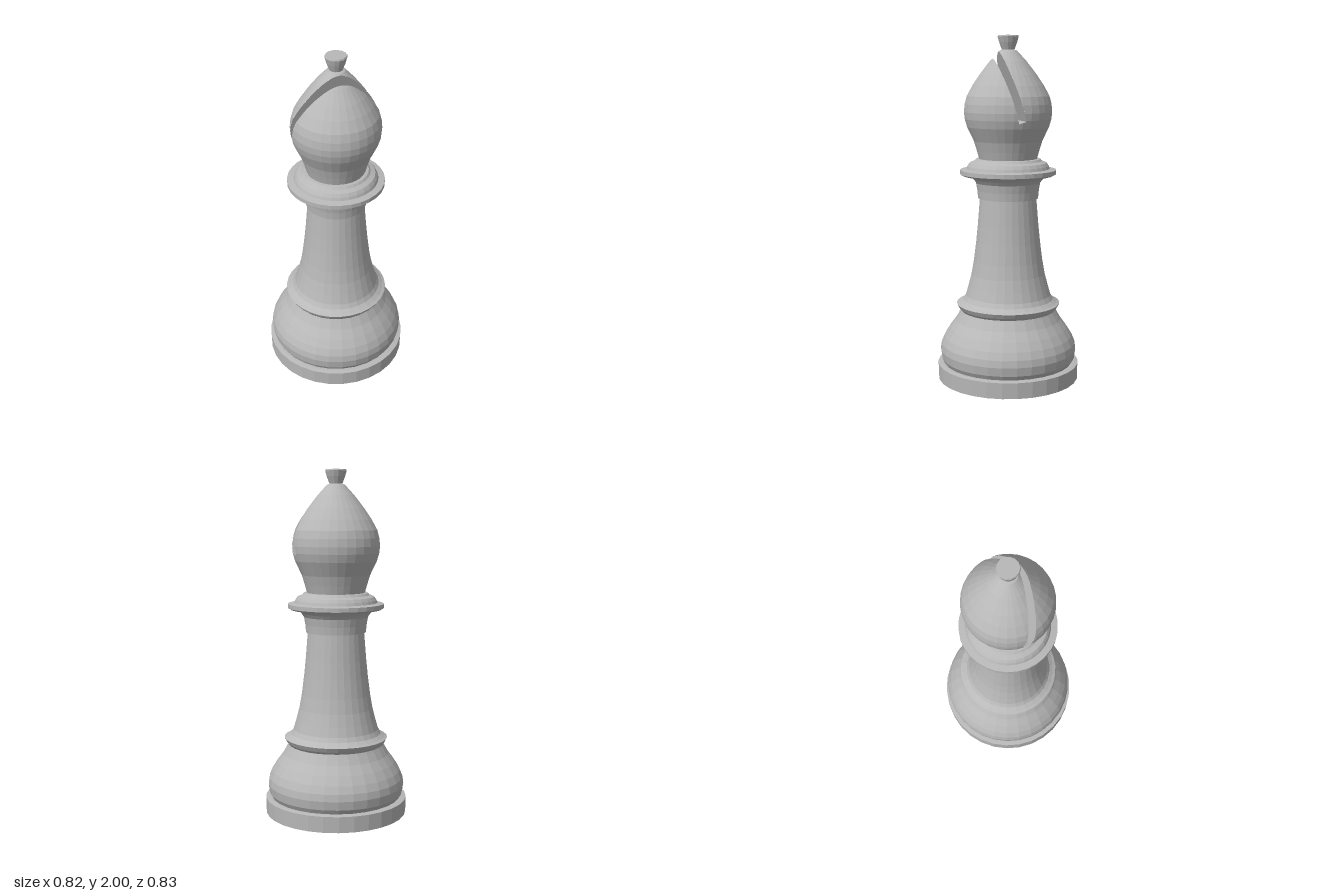
import * as THREE from 'three';

const SIDES = 30;
const stone = new THREE.MeshStandardMaterial({ color: 0xb8b8b8, flatShading: true });
stone.name = 'grey stone';

// Turned part from [radius, height] pairs, bottom to top
const lathe = (profile, sides = SIDES) =>
  new THREE.LatheGeometry(profile.map(([r, y]) => new THREE.Vector2(r, y)), sides);

const headProfile = [
  [0.165, 1.295], [0.18, 1.35], [0.197, 1.405], [0.235, 1.485], [0.248, 1.53], [0.252, 1.57],
  [0.248, 1.615], [0.236, 1.66], [0.203, 1.72], [0.163, 1.78], [0.105, 1.855], [0.05, 1.915], [0, 1.93],
];

function headRadius(y) {
  for (let i = 1; i < headProfile.length; i++) {
    const [r0, y0] = headProfile[i - 1], [r1, y1] = headProfile[i];
    if (y <= y1) return r0 + (r1 - r0) * (y - y0) / (y1 - y0);
  }
  return 0;
}

// Slot frame: origin at the back corner of its floor, "up" along it, "across" toward the front
const origin = new THREE.Vector3(0, 1.525, -0.048);
const up = new THREE.Vector3(0, 1, 0.273).normalize();
const across = new THREE.Vector3(0, -0.273, 1).normalize();
const WIDTH = 0.0445;
const depthOf = p => p.clone().sub(origin).dot(across);
const heightOf = p => p.clone().sub(origin).dot(up);

// Keep the part of a polygon where f(p) <= 0
function clip(poly, f) {
  const out = [];
  poly.forEach((a, i) => {
    const b = poly[(i + 1) % poly.length], fa = f(a), fb = f(b);
    if (fa <= 0) out.push(a);
    if ((fa < 0 && fb > 0) || (fa > 0 && fb < 0)) out.push(a.clone().lerp(b, fa / (fa - fb)));
  });
  return out;
}

// Head with a slanted slot cut right through from side to side
function slottedHead() {
  const pos = [];
  const addPoly = (poly, facing) => {
    for (let i = 1; i + 1 < poly.length; i++) {
      let [a, b, c] = [poly[0], poly[i], poly[i + 1]];
      const n = b.clone().sub(a).cross(c.clone().sub(a));
      if (n.length() < 1e-9) continue;
      if (facing && n.dot(facing) < 0) [b, c] = [c, b];
      for (const p of [a, b, c]) pos.push(p.x, p.y, p.z);
    }
  };

  // Outer skin: back half, front half, and the strip below the slot floor
  const skin = lathe(headProfile).toNonIndexed().attributes.position;
  for (let i = 0; i < skin.count; i += 3) {
    const tri = [0, 1, 2].map(k => new THREE.Vector3().fromBufferAttribute(skin, i + k));
    addPoly(clip(tri, depthOf));
    addPoly(clip(tri, p => WIDTH - depthOf(p)));
    const middle = clip(clip(tri, p => -depthOf(p)), p => depthOf(p) - WIDTH);
    addPoly(clip(middle, heightOf));
  }

  // Left and right ends of a chord through the head inside the slot
  const chord = (d, h) => {
    const p = origin.clone().addScaledVector(across, d).addScaledVector(up, h);
    const x = Math.sqrt(Math.max(0, headRadius(p.y) ** 2 - p.z ** 2)) * 0.997;
    return [new THREE.Vector3(-x, p.y, p.z), new THREE.Vector3(x, p.y, p.z)];
  };
  const strip = (a, b, facing) => addPoly([a[0], a[1], b[1], b[0]], facing);

  // Two slot walls
  for (const [d, sign] of [[0, 1], [WIDTH, -1]]) {
    let top = 0;
    while (chord(d, top)[1].x > 0) top += 0.001;
    const steps = 16, facing = across.clone().multiplyScalar(sign);
    for (let i = 0; i < steps; i++) {
      // finer steps near the rounded tip
      const at = k => top * (1 - (1 - k / steps) ** 2);
      strip(chord(d, at(i)), chord(d, at(i + 1)), facing);
    }
  }
  // Slot floor
  strip(chord(0, 0), chord(WIDTH, 0), up);

  const geo = new THREE.BufferGeometry();
  geo.setAttribute('position', new THREE.Float32BufferAttribute(pos, 3));
  geo.computeVertexNormals();
  return geo;
}

export function createModel() {
  const group = new THREE.Group();
  group.name = 'chessBishop';
  const add = (name, geometry) => {
    const mesh = new THREE.Mesh(geometry, stone);
    mesh.name = name;
    group.add(mesh);
  };

  add('baseDisc', lathe([[0, 0], [0.07, 0.002], [0.412, 0.008], [0.414, 0.1], [0.39, 0.104], [0, 0.104]]));
  add('baseBulb', lathe([
    [0.375, 0.1], [0.392, 0.13], [0.399, 0.18], [0.393, 0.22], [0.375, 0.262],
    [0.345, 0.31], [0.308, 0.36], [0.283, 0.405], [0.27, 0.43],
  ]));
  add('lowerCollar', lathe([
    [0.255, 0.41], [0.275, 0.414], [0.288, 0.43], [0.302, 0.456], [0.285, 0.464], [0.265, 0.478], [0.24, 0.49],
  ]));
  add('shaft', lathe([
    [0.268, 0.47], [0.248, 0.505], [0.232, 0.56], [0.214, 0.63], [0.2, 0.71],
    [0.186, 0.82], [0.176, 0.92], [0.163, 1.08],
  ]));
  add('neck', lathe([
    [0.155, 1.073], [0.174, 1.075], [0.178, 1.12], [0.186, 1.165], [0.2, 1.185], [0.222, 1.205], [0.225, 1.215],
  ]));
  add('upperCollar', lathe([
    [0.2, 1.207], [0.262, 1.207], [0.277, 1.216], [0.277, 1.24], [0.24, 1.246],
    [0.234, 1.262], [0.222, 1.28], [0.195, 1.29], [0.185, 1.302], [0.15, 1.306],
  ]));
  add('head', slottedHead());
  add('finial', lathe([[0.036, 1.9], [0.037, 1.92], [0.052, 1.96], [0.061, 1.992], [0.058, 2], [0, 2]], 14));

  return group;
}
